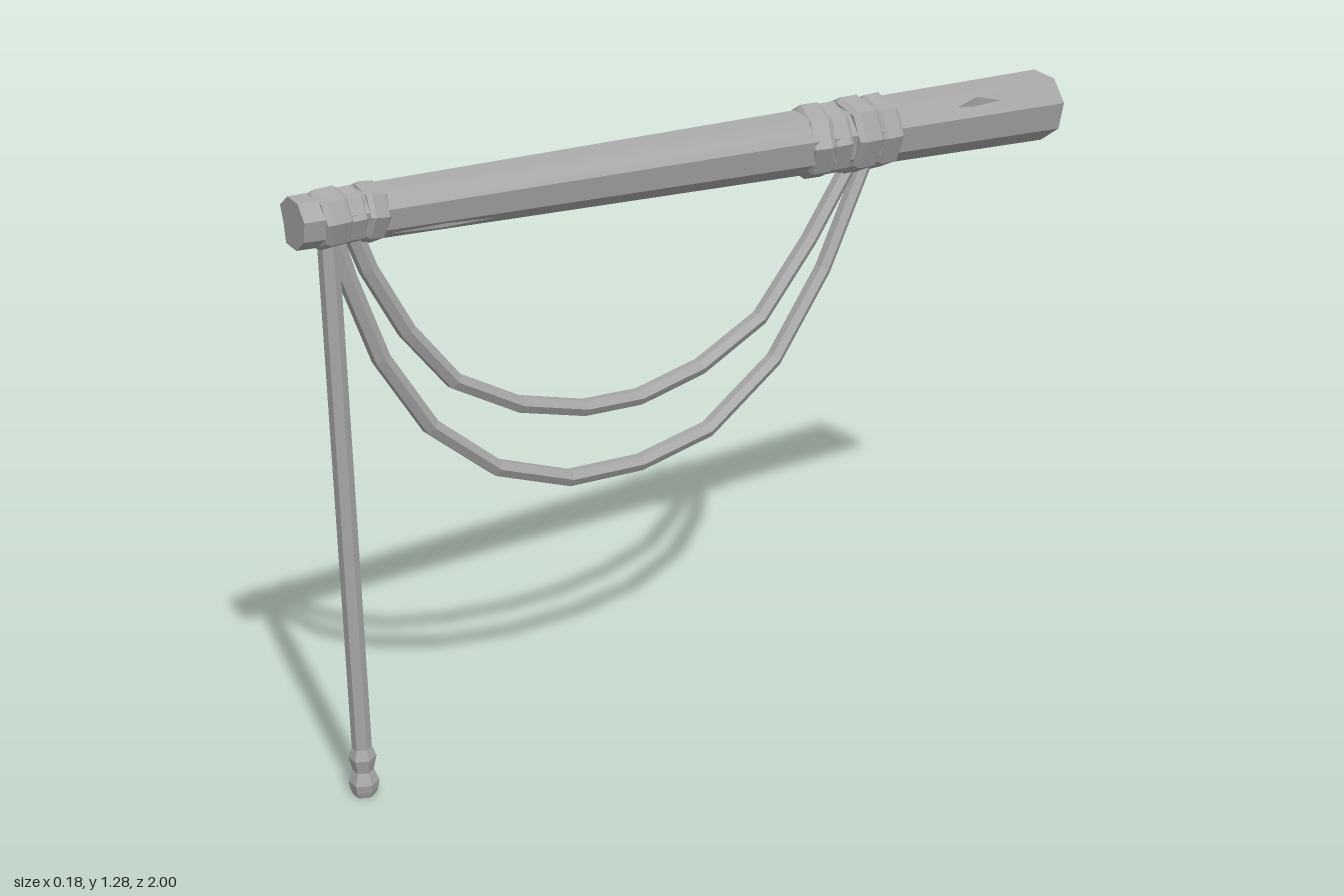
import * as THREE from 'three';

const grey = new THREE.MeshStandardMaterial({ color: 0xa6a6a6 });
grey.name = 'grey';
const V = (x, y, z) => new THREE.Vector3(x, y, z);

// Flat-shaded geometry from a list of triangle corners
function fromTriangles(points) {
  const g = new THREE.BufferGeometry().setFromPoints(points);
  g.computeVertexNormals();
  return g;
}

// Ring of corners around a centre, spanned by u and v
function ring(c, u, v, r, sides, turn = 0) {
  return Array.from({ length: sides }, (_, i) => {
    const a = turn + (i / sides) * Math.PI * 2;
    return c.clone().addScaledVector(u, r * Math.cos(a)).addScaledVector(v, r * Math.sin(a));
  });
}

// Face with a sunken diamond chip between z = front and z = back
function chippedFace(A, B, C, D, { front, back, depth }) {
  const at = (z, s) => {
    const k = (A.z - z) / (A.z - D.z);
    return A.clone().lerp(D, k).lerp(B.clone().lerp(C, k), s);
  };
  const mid = (front + back) / 2;
  const F = at(front, 0.5), K = at(back, 0.5), S = at(mid, 0.22), T = at(mid, 0.78);
  const inward = D.clone().sub(A).cross(B.clone().sub(A)).normalize().multiplyScalar(-depth);
  const M = at(mid, 0.5).add(inward);
  return [A, F, B, B, F, T, B, T, C, C, T, K, C, K, D, D, K, S, D, S, A, A, S, F,
    F, S, M, S, K, M, K, T, M, T, F, M];
}

// Capped skin over consecutive rings; chips maps "ring,side" to a chip
function loft(rings, chips = {}) {
  const t = [], n = rings[0].length;
  for (let i = 0; i < rings.length - 1; i++) {
    for (let j = 0; j < n; j++) {
      const k = (j + 1) % n;
      const A = rings[i][j], B = rings[i][k], C = rings[i + 1][k], D = rings[i + 1][j];
      const chip = chips[i + ',' + j];
      if (chip) t.push(...chippedFace(A, B, C, D, chip));
      else t.push(A, D, C, A, C, B);
    }
  }
  const cap = (r, flip) => {
    const c = r.reduce((s, p) => s.add(p), V(0, 0, 0)).divideScalar(n);
    r.forEach((p, j) => {
      const q = r[(j + 1) % n];
      t.push(c, flip ? q : p, flip ? p : q);
    });
  };
  cap(rings[0], false);
  cap(rings[rings.length - 1], true);
  return fromTriangles(t);
}

// Rope swept along [z, y] points in the middle plane
function ropeGeometry(path, radius, sides = 6) {
  const pts = path.map(([z, y]) => V(0, y, z));
  return loft(pts.map((p, i) => {
    const t = pts[Math.min(i + 1, pts.length - 1)].clone().sub(pts[Math.max(i - 1, 0)]).normalize();
    const r = Array.isArray(radius) ? radius[i] : radius;
    return ring(p, V(1, 0, 0), V(0, -t.z, t.y), r, sides);
  }));
}

export function createModel() {
  const group = new THREE.Group();
  const add = (name, geometry) => {
    const m = new THREE.Mesh(geometry, grey);
    m.name = name;
    group.add(m);
    return m;
  };
  const X = V(1, 0, 0), Y = V(0, 1, 0);
  const poleY = z => 1.192 + 0.009 * z;

  // Tapered eight-sided pole, with chips and a nick in the front end
  const poleRings = [[1, 0.05], [0.95, 0.051], [-1, 0.085]].map(([z, r]) =>
    ring(V(0, poleY(z), z), X, Y, r, 8, 0.19));
  poleRings[0][4].lerp(V(0, poleY(1), 1), 0.35);
  add('pole', loft(poleRings, {
    '1,0': { front: -0.66, back: -0.8, depth: 0.014 },
    '1,6': { front: 0.82, back: 0.58, depth: 0.012 },
    '1,3': { front: 0.5, back: 0.3, depth: 0.01 },
  }));

  // Rope turns bound round the pole: z, half width, radius, tilts
  const turns = [
    [0.93, 0.029, 0.058, 0.06, 0.05], [0.888, 0.022, 0.055, -0.05, 0.05], [0.85, 0.023, 0.059, 0.1, -0.1],
    [-0.262, 0.03, 0.084, -0.36, 0.08], [-0.312, 0.027, 0.081, -0.25, 0.08],
    [-0.375, 0.036, 0.088, 0, 0.02], [-0.447, 0.031, 0.086, -0.08, 0.06],
  ];
  turns.forEach(([z, h, r, ry, rx]) => {
    const profile = [[h, 0.89], [h * 0.65, 1], [-h * 0.65, 1], [-h, 0.89]];
    const turn = add('ropeTurn', loft(profile.map(([dz, s]) => ring(V(0, 0, dz), X, Y, r * s, 8))));
    turn.position.set(0, poleY(z), z);
    turn.rotation.set(rx, ry, 0);
  });

  // Two slack ropes drooping between the bindings
  add('upperSlackRope', ropeGeometry([
    [0.88, 1.17], [0.85, 1.09], [0.775, 0.955], [0.674, 0.832], [0.524, 0.75], [0.364, 0.707], [0.22, 0.7],
    [0.053, 0.733], [-0.118, 0.812], [-0.262, 0.968], [-0.385, 1.13],
  ], 0.019));
  add('lowerSlackRope', ropeGeometry([
    [0.92, 1.17], [0.895, 1.08], [0.834, 0.91], [0.733, 0.75], [0.583, 0.626], [0.406, 0.56], [0.22, 0.55],
    [0.032, 0.583], [-0.16, 0.706], [-0.305, 0.893], [-0.43, 1.13],
  ], 0.019));

  // Straight hanging rope ending in a knot
  add('hangingRope', ropeGeometry([[0.93, 1.16], [0.93, 0.105]], 0.02));
  add('ropeKnot', ropeGeometry(
    [[0.93, 0.11], [0.93, 0.085], [0.93, 0.055], [0.93, 0.03], [0.93, 0.012], [0.93, 0]],
    [0.019, 0.028, 0.021, 0.031, 0.028, 0.023]));

  return group;
}
